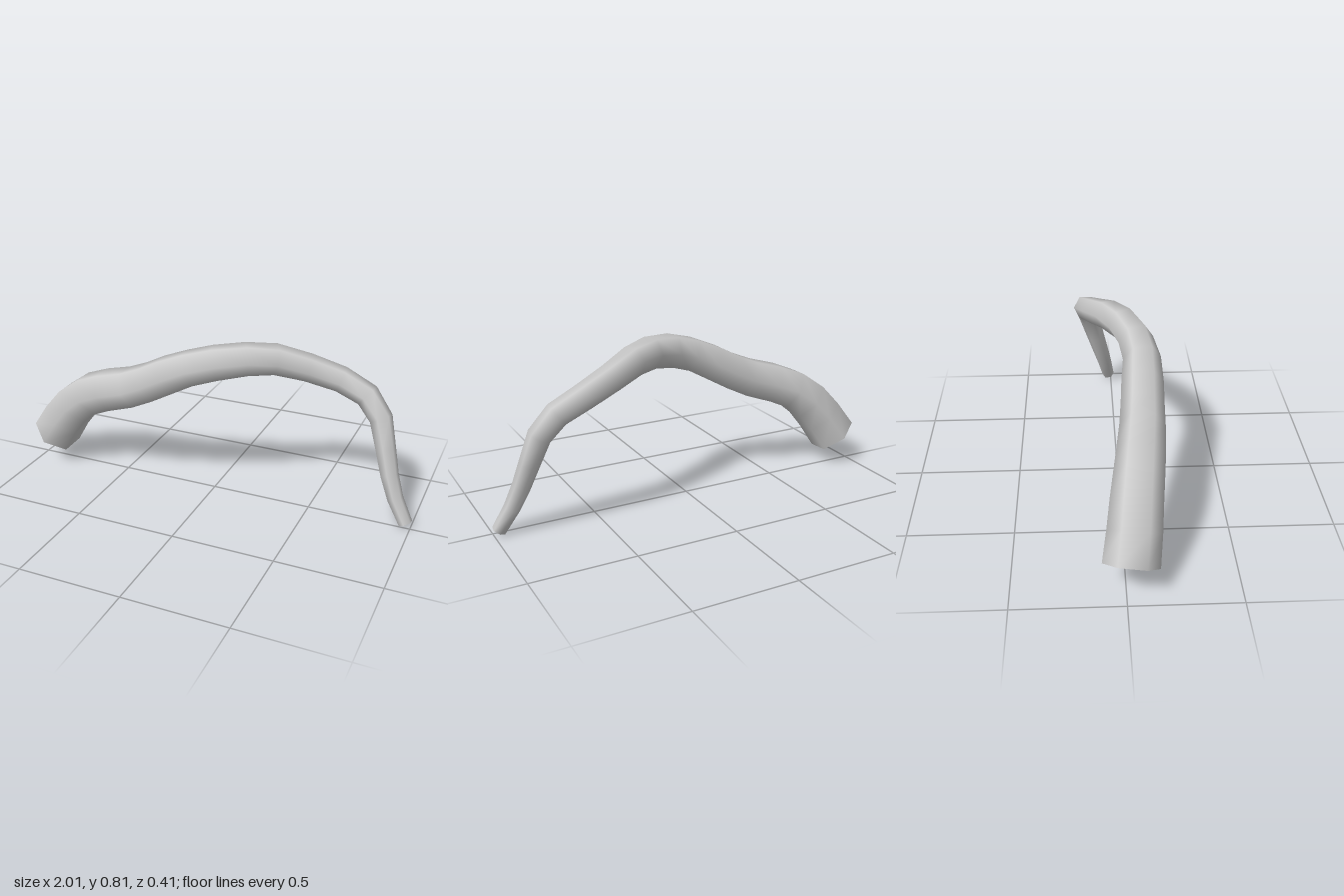
import * as THREE from 'three';

const SIDES = 6;

// Centre line stations, thick end to thin end: x, y, z, radius
const STATIONS = [
  [-0.915, 0.148, 0.02, 0.125],
  [-0.833, 0.268, 0.038, 0.12],
  [-0.755, 0.36, 0.05, 0.116],
  [-0.66, 0.433, 0.065, 0.112],
  [-0.55, 0.48, 0.08, 0.109],
  [-0.41, 0.525, 0.095, 0.104],
  [-0.305, 0.573, 0.102, 0.1],
  [-0.2, 0.63, 0.108, 0.098],
  [-0.08, 0.688, 0.112, 0.09],
  [0.04, 0.725, 0.09, 0.087],
  [0.175, 0.745, 0.034, 0.081],
  [0.295, 0.738, -0.035, 0.075],
  [0.435, 0.695, -0.1, 0.068],
  [0.585, 0.643, -0.145, 0.063],
  [0.715, 0.582, -0.147, 0.06],
  [0.793, 0.487, -0.125, 0.056],
  [0.835, 0.35, -0.09, 0.049],
  [0.87, 0.235, -0.06, 0.044],
  [0.912, 0.13, -0.035, 0.039],
  [0.975, 0.02, -0.015, 0.034],
];

// One six-sided ring per station, square to the path
function makeRings() {
  const points = STATIONS.map(([x, y, z]) => new THREE.Vector3(x, y, z));
  const last = points.length - 1;
  const direction = (i) => points[i + 1].clone().sub(points[i]).normalize();
  return points.map((p, i) => {
    const tangent = direction(Math.max(i - 1, 0)).add(direction(Math.min(i, last - 1))).normalize();
    const side = new THREE.Vector3(0, 0, 1).addScaledVector(tangent, -tangent.z).normalize();
    const up = side.clone().cross(tangent);
    const r = STATIONS[i][3];
    return Array.from({ length: SIDES }, (_, j) => {
      const a = (j / SIDES) * Math.PI * 2;
      return p.clone().addScaledVector(side, Math.cos(a) * r).addScaledVector(up, Math.sin(a) * r);
    });
  });
}

function makeGeometry(vertices, index) {
  const geometry = new THREE.BufferGeometry().setFromPoints(vertices);
  geometry.setIndex(index);
  geometry.computeVertexNormals();
  return geometry;
}

export function createModel() {
  const group = new THREE.Group();
  group.name = 'curvedBranch';
  const material = new THREE.MeshStandardMaterial({ color: 0xcccccc });
  const add = (name, geometry) => {
    const mesh = new THREE.Mesh(geometry, material);
    mesh.name = name;
    group.add(mesh);
  };
  const rings = makeRings();

  // Smooth tapering body
  const index = [];
  for (let i = 0; i < rings.length - 1; i++) {
    for (let j = 0; j < SIDES; j++) {
      const k = (j + 1) % SIDES;
      const a = i * SIDES + j, b = i * SIDES + k;
      const c = a + SIDES, d = b + SIDES;
      index.push(a, c, b, b, c, d);
    }
  }
  add('body', makeGeometry(rings.flat(), index));

  // Flat end faces
  const fan = [];
  for (let j = 1; j < SIDES - 1; j++) fan.push(0, j, j + 1);
  add('thickEnd', makeGeometry(rings[0], fan));
  add('thinEnd', makeGeometry([...rings[rings.length - 1]].reverse(), fan));

  return group;
}
